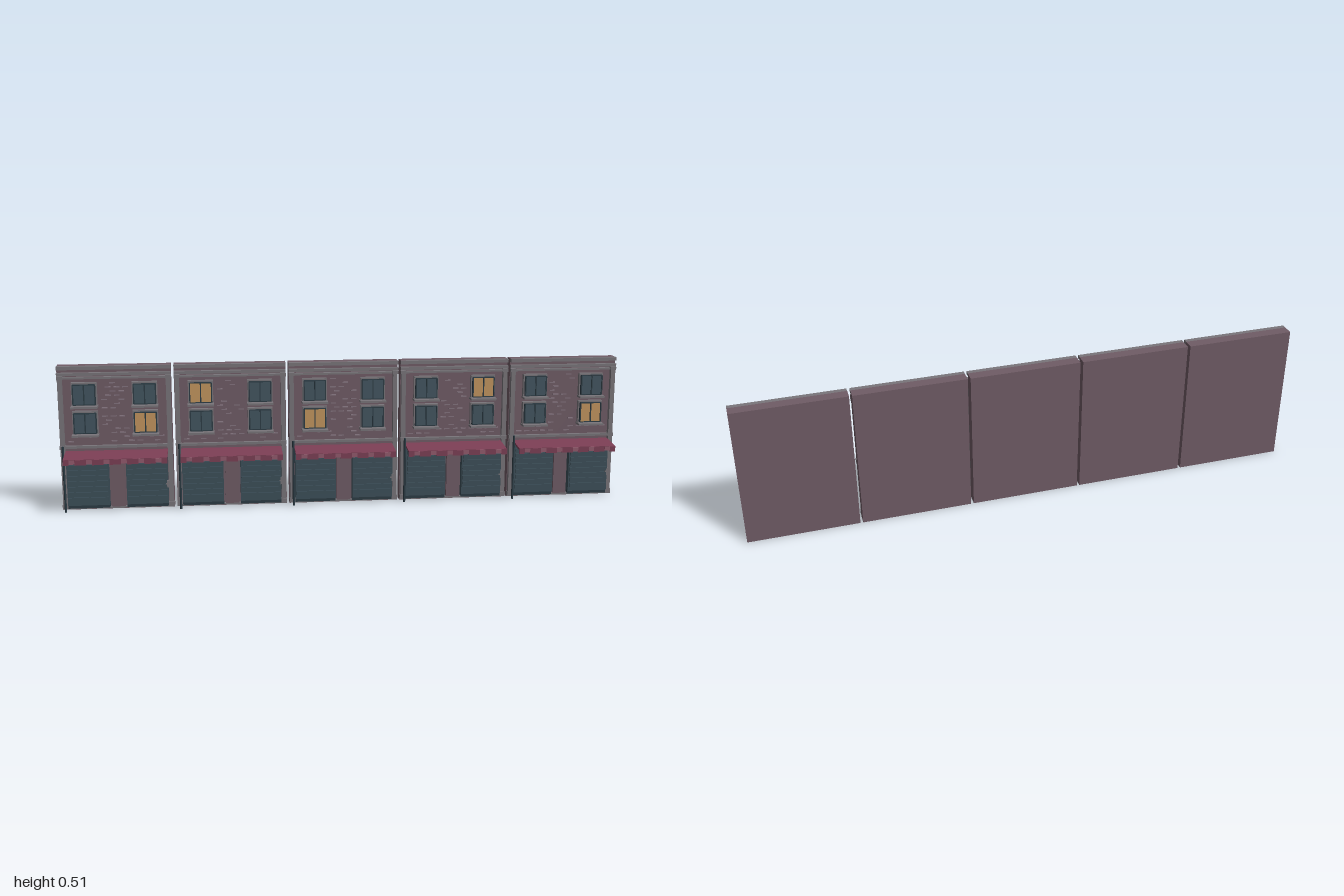
import * as THREE from 'three';

const mat = (name, color) => {
  const m = new THREE.MeshStandardMaterial({ color });
  m.name = name;
  return m;
};
const M = {
  brick: mat('mauve brick', 0x705c66),
  brickLight: mat('pale brick', 0x857580),
  stone: mat('grey stone', 0x79757a),
  teal: mat('shutter teal', 0x3c4f59),
  tealDark: mat('dark teal', 0x2b3b44),
  glass: mat('window glass', 0x425560),
  lit: mat('lit window', 0xc4965f),
  awning: mat('awning red', 0x7c3f55),
  awningLight: mat('awning pale red', 0x935a6d),
};

// Box given by its limits on each axis
function box(parent, name, material, x0, x1, y0, y1, z0, z1) {
  const mesh = new THREE.Mesh(new THREE.BoxGeometry(x1 - x0, y1 - y0, z1 - z0), material);
  mesh.position.set((x0 + x1) / 2, (y0 + y1) / 2, (z0 + z1) / 2);
  mesh.name = name;
  parent.add(mesh);
  return mesh;
}

function seeded(seed) {
  let s = seed;
  return () => (s = (s * 16807) % 2147483647) / 2147483647;
}

const PITCH = 0.402, HALF = 0.196, WALL = -0.03;

// Window with stone surround, two panes and a sill
function makeWindow(x, y, isLit) {
  const g = new THREE.Group();
  g.name = 'window';
  const w = 0.038, h = 0.035;
  box(g, 'windowSurround', M.stone, -w - 0.006, w + 0.006, -h - 0.004, h + 0.007, WALL, -0.014);
  box(g, 'windowPane', isLit ? M.lit : M.glass, -w, w, -h, h, -0.014, -0.007);
  for (const s of [-1, 1]) {
    box(g, 'windowJamb', M.tealDark, s * w - 0.002, s * w + 0.002, -h, h, -0.014, -0.003);
    box(g, 'windowRail', M.tealDark, -w, w, s * h - 0.0015, s * h + 0.0015, -0.014, -0.004);
  }
  box(g, 'windowMullion', M.tealDark, -0.002, 0.002, -h, h, -0.014, -0.003);
  box(g, 'windowSill', M.stone, -0.046, 0.046, -h - 0.011, -h - 0.004, WALL, 0.01);
  g.position.set(x, y, 0);
  return g;
}

// Roller shutter with raised slats
function makeShutter(side) {
  const g = new THREE.Group();
  g.name = 'rollerShutter';
  const x0 = side < 0 ? -0.176 : 0.03, x1 = x0 + 0.146;
  box(g, 'shutterPanel', M.teal, x0, x1, 0.02, 0.202, WALL, -0.004);
  for (let i = 0; i < 8; i++) {
    const y = 0.036 + i * 0.0198;
    box(g, 'shutterSlat', M.teal, x0 + 0.004, x1 - 0.004, y, y + 0.014, -0.004, 0.002);
  }
  box(g, 'shutterFoot', M.tealDark, x0, x1, 0.008, 0.02, WALL, -0.012);
  return g;
}

// Sloping awning with a striped hanging edge
function makeAwning() {
  const g = new THREE.Group();
  g.name = 'awning';
  const w = 0.356;
  const profile = new THREE.Shape();
  [[WALL, 0.213], [-0.014, 0.212], [0.066, 0.203], [0.066, 0.196], [-0.014, 0.205], [WALL, 0.206]]
    .forEach(([z, y], i) => (i ? profile.lineTo(z, y) : profile.moveTo(z, y)));
  const geo = new THREE.ExtrudeGeometry(profile, { depth: w, bevelEnabled: false });
  geo.rotateY(-Math.PI / 2);
  geo.translate(w / 2, 0, 0);
  const canopy = new THREE.Mesh(geo, M.awning);
  canopy.name = 'awningCanopy';
  g.add(canopy);
  const n = 18, step = w / n;
  for (let i = 0; i < n; i++) {
    const x = -w / 2 + i * step, pale = i % 3 === 1;
    box(g, 'awningFlap', pale ? M.awningLight : M.awning, x, x + step,
      pale ? 0.187 : 0.183, 0.202, 0.062, pale ? 0.069 : 0.068);
  }
  return g;
}

// Thin scattered bricks on the upper wall, kept clear of the windows
function addBricks(parent, seed) {
  const rnd = seeded(seed);
  for (let row = 0; row < 15; row++) {
    const y = 0.247 + row * 0.0148;
    for (let col = 0; col < 11; col++) {
      const x = -0.15 + col * 0.03 + (row % 2 ? 0.007 : -0.007);
      const byWindow = Math.abs(Math.abs(x) - 0.104) < 0.06
        && ((y > 0.262 && y < 0.364) || (y > 0.364 && y < 0.466));
      if (byWindow || rnd() > 0.45) continue;
      box(parent, 'paleBrick', M.brickLight, x - 0.01, x + 0.01, y - 0.002, y + 0.002, WALL, WALL + 0.003);
    }
  }
}

function makeShop(index, litX, litRow) {
  const g = new THREE.Group();
  g.name = 'shop';
  box(g, 'wall', M.brick, -HALF, HALF, 0, 0.515, -0.068, WALL);
  addBricks(g, 37 + index * 911);

  // Side pilasters with foot, middle and head blocks
  for (const s of [-1, 1]) {
    const c = s * 0.186;
    box(g, 'pilaster', M.stone, c - 0.008, c + 0.008, 0.005, 0.475, WALL, -0.0145);
    for (const [y0, y1] of [[0.011, 0.022], [0.222, 0.235], [0.468, 0.48]]) {
      box(g, 'pilasterBlock', M.stone, c - 0.01, c + 0.01, y0, y1, WALL, -0.012);
    }
  }

  // Horizontal mouldings
  box(g, 'plinth', M.stone, -HALF, HALF, 0.005, 0.011, WALL, -0.014);
  box(g, 'shopFascia', M.stone, -0.178, 0.178, 0.224, 0.233, WALL, -0.016);
  box(g, 'frieze', M.stone, -0.178, 0.178, 0.47, 0.477, WALL, -0.016);
  box(g, 'lowerCornice', M.stone, -HALF, HALF, 0.482, 0.492, WALL, -0.014);
  box(g, 'topCornice', M.stone, -HALF, HALF, 0.503, 0.515, WALL, -0.013);

  // Upper windows
  for (const s of [-1, 1]) {
    [0.315, 0.416].forEach((y, row) => g.add(makeWindow(s * 0.104, y, s === litX && row === litRow)));
    g.add(makeShutter(s));
  }

  // Shop front
  box(g, 'centrePier', M.brick, -0.024, 0.024, 0.011, 0.205, WALL, -0.014);
  g.add(makeAwning());
  box(g, 'meterBox', M.stone, 0.168, 0.18, 0.078, 0.104, -0.014, -0.001);

  // Slim post at the side of the shop
  const post = new THREE.Mesh(new THREE.CylinderGeometry(0.004, 0.004, 0.237, 8), M.tealDark);
  post.position.set(-0.183, 0.1185, 0.0065);
  post.name = 'post';
  g.add(post);

  g.position.x = (index - 2) * PITCH;
  return g;
}

export function createModel() {
  const model = new THREE.Group();
  model.name = 'shopTerrace';
  // Lit window of each shop: side, row
  [[1, 0], [-1, 1], [-1, 0], [1, 1], [1, 0]].forEach(([x, row], i) => model.add(makeShop(i, x, row)));
  return model;
}
